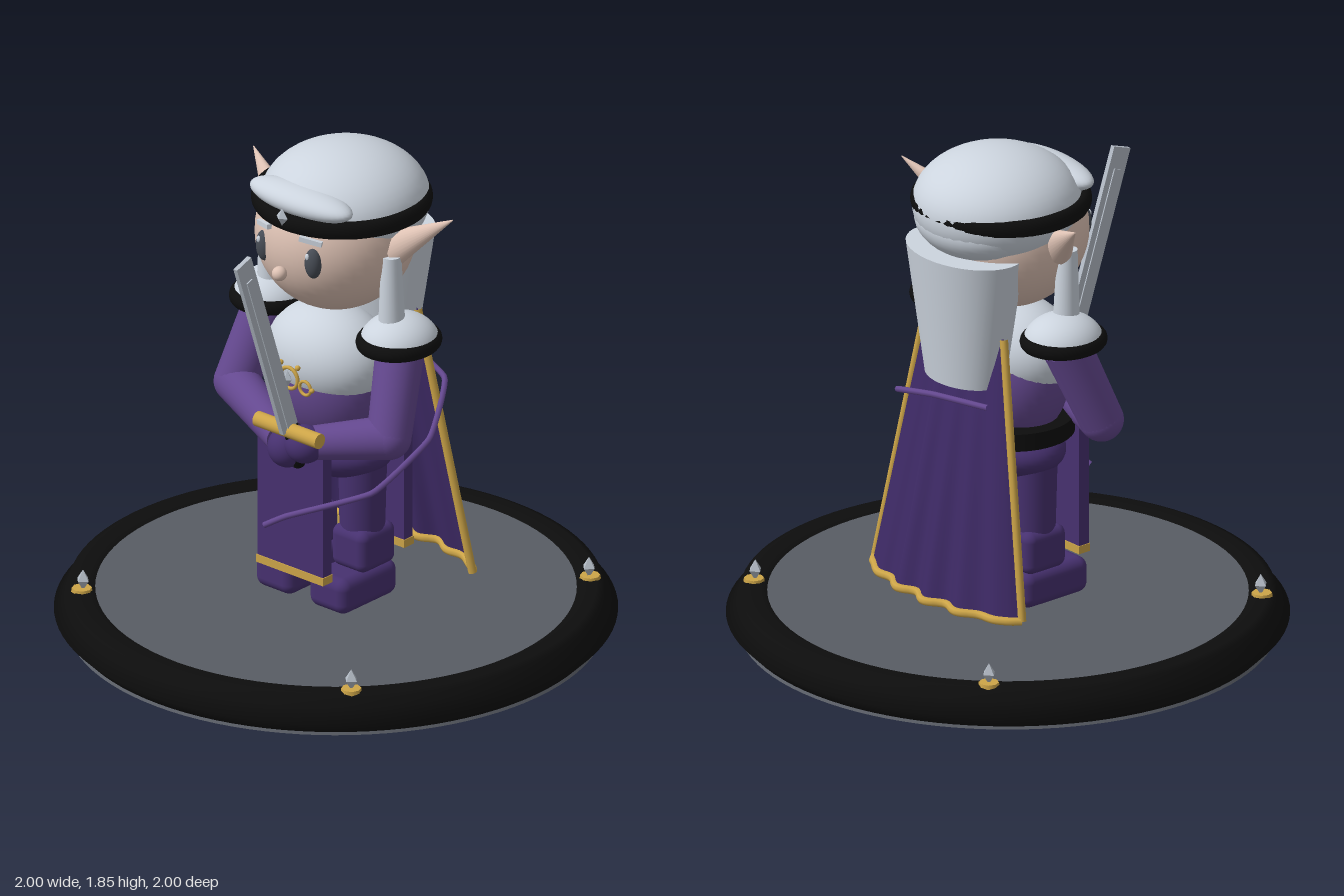
import * as THREE from 'three';
import { RoundedBoxGeometry } from 'three/addons/geometries/RoundedBoxGeometry.js';

const material = (name, color, side = THREE.FrontSide) => {
  const m = new THREE.MeshStandardMaterial({ color, side });
  m.name = name;
  return m;
};
const V = (x, y, z) => new THREE.Vector3(x, y, z);

export function createModel() {
  const white = material('silver white', 0xccd4de);
  const skin = material('skin', 0xdec2b4);
  const robe = material('robe purple', 0x64488f);
  const dark = material('dark purple', 0x473170);
  const capeCloth = material('cape purple', 0x3e2a66, THREE.DoubleSide);
  const black = material('black', 0x0d0d0d);
  const gold = material('gold', 0xcda548);
  const steel = material('steel', 0xb4bcc6);
  const stone = material('stone grey', 0x585c64);
  const eyeGrey = material('eye grey', 0x484d56);

  const model = new THREE.Group();
  model.name = 'figurine';

  const add = (name, geometry, mat, pos = [0, 0, 0], scale = [1, 1, 1], rot = [0, 0, 0]) => {
    const mesh = new THREE.Mesh(geometry, mat);
    mesh.name = name;
    mesh.position.set(...pos);
    mesh.scale.set(...scale);
    mesh.rotation.set(...rot);
    model.add(mesh);
    return mesh;
  };
  const ball = (name, mat, pos, radii) =>
    add(name, new THREE.SphereGeometry(1, 40, 28), mat, pos, radii);
  const gem = (name, pos, radii) =>
    add(name, new THREE.OctahedronGeometry(1), steel, pos, radii);
  const ring = (name, mat, pos, rx, rz, tube, height = 1) => {
    const g = new THREE.TorusGeometry(1, tube / rx, 14, 56).rotateX(Math.PI / 2);
    return add(name, g, mat, pos, [rx, rx * height, rz]);
  };
  // Tapered round bar between two points
  const bar = (name, mat, a, b, ra, rb, sides = 28) => {
    const mesh = add(name, new THREE.CylinderGeometry(rb, ra, a.distanceTo(b), sides), mat);
    mesh.position.copy(a).add(b).multiplyScalar(0.5);
    mesh.quaternion.setFromUnitVectors(V(0, 1, 0), b.clone().sub(a).normalize());
    return mesh;
  };
  const tube = (name, mat, points, radius, tension = 0.5) =>
    add(name, new THREE.TubeGeometry(
      new THREE.CatmullRomCurve3(points, false, 'catmullrom', tension), 80, radius, 8), mat);

  // Display base
  const rim = [[0.95, 0.01], [0.955, 0.015], [1, 0.06], [0.96, 0.11], [0.95, 0.14],
    [0.925, 0.15], [0.87, 0.15], [0.85, 0.138]].map(p => new THREE.Vector2(...p));
  add('baseRim', new THREE.LatheGeometry(rim, 96), black);
  add('baseDisc', new THREE.CylinderGeometry(0.86, 0.955, 0.14, 96), stone, [0, 0.07, 0]);
  for (const x of [-1, 1]) for (const z of [-1, 1]) {
    add('gemSetting', new THREE.CylinderGeometry(0.036, 0.04, 0.03, 8), gold,
      [x * 0.638, 0.145, z * 0.638]);
    gem('baseGem', [x * 0.635, 0.19, z * 0.635], [0.027, 0.04, 0.027]);
  }

  // Legs
  for (const s of [-1, 1]) {
    add('foot', new RoundedBoxGeometry(0.18, 0.135, 0.3, 4, 0.04), dark, [s * 0.127, 0.215, 0.052]);
    add('shin', new RoundedBoxGeometry(0.165, 0.16, 0.185, 4, 0.035), dark, [s * 0.135, 0.355, 0.005]);
    bar('thigh', dark, V(s * 0.13, 0.4, 0.005), V(s * 0.13, 0.7, 0.005), 0.08, 0.088);
  }
  ball('hips', dark, [0, 0.71, 0.005], [0.235, 0.11, 0.175]);

  // Torso and chest plate
  ball('torso', robe, [0, 0.98, 0.02], [0.225, 0.26, 0.19]);
  ball('chestPlate', white, [0, 1.07, 0.035], [0.245, 0.19, 0.19]);
  add('belt', new THREE.CylinderGeometry(0.235, 0.235, 0.065, 48), black, [0, 0.795, 0.01], [1, 1, 0.97]);
  add('buckle', new THREE.BoxGeometry(0.07, 0.06, 0.02), gold, [0, 0.785, 0.243]);

  // Hanging cloth panels
  for (const z of [0.222, -0.212]) {
    add('tabard', new THREE.BoxGeometry(0.31, 0.49, 0.045), dark, [0, 0.53, z]);
    add('tabardHem', new THREE.BoxGeometry(0.316, 0.03, 0.052), gold, [0, 0.288, z]);
  }

  // Chest emblem
  add('emblemRing', new THREE.TorusGeometry(0.04, 0.007, 8, 32), gold, [0, 1.04, 0.25]);
  gem('emblemGem', [0, 1.04, 0.26], [0.02, 0.034, 0.018]);
  for (const s of [-1, 1]) {
    add('emblemSideRing', new THREE.TorusGeometry(0.026, 0.006, 8, 24), gold, [s * 0.075, 1.022, 0.25]);
    ball('emblemBead', gold, [s * 0.04, 1.09, 0.25], [0.01, 0.01, 0.01]);
    ball('emblemBead', gold, [s * 0.108, 1.022, 0.25], [0.009, 0.009, 0.009]);
  }

  // Arms, gloves and shoulder guards
  for (const s of [-1, 1]) {
    const shoulder = V(s * 0.31, 1.17, 0.005);
    const elbow = V(s * 0.362, 0.875, 0.125);
    const wrist = s < 0 ? V(0.0, 0.82, 0.285) : V(0.15, 0.845, 0.285);
    bar('upperArm', robe, shoulder, elbow, 0.088, 0.08);
    ball('elbow', robe, elbow.toArray(), [0.08, 0.08, 0.08]);
    bar('forearm', robe, elbow, wrist, 0.08, 0.062);
    add('shoulderGuard', new THREE.SphereGeometry(1, 40, 16, 0, Math.PI * 2, 0, Math.PI / 2),
      white, [s * 0.3, 1.185, 0], [0.14, 0.11, 0.15]);
    ring('shoulderTrim', black, [s * 0.3, 1.195, 0.002], 0.122, 0.135, 0.025, 1.15);
  }
  ball('glove', dark, [0.05, 0.81, 0.315], [0.072, 0.075, 0.072]);
  ball('glove', dark, [0.13, 0.845, 0.315], [0.075, 0.07, 0.07]);

  // Sword, built upright then tilted forward
  const sword = new THREE.Group();
  sword.name = 'sword';
  const swordPart = (name, geometry, mat, y) => {
    const mesh = new THREE.Mesh(geometry, mat);
    mesh.name = name;
    mesh.position.y = y;
    sword.add(mesh);
  };
  swordPart('blade', new THREE.BoxGeometry(0.018, 0.77, 0.08), steel, 0.395);
  swordPart('bladeRidge', new THREE.BoxGeometry(0.028, 0.69, 0.03), steel, 0.355);
  swordPart('guard', new THREE.CylinderGeometry(0.028, 0.028, 0.295, 20).rotateZ(Math.PI / 2), gold, 0);
  sword.children[2].position.x = -0.003;
  swordPart('grip', new THREE.CylinderGeometry(0.022, 0.022, 0.16, 16), black, -0.08);
  sword.position.set(0.1, 0.905, 0.362);
  sword.rotation.x = 0.328;
  model.add(sword);

  // Head
  ball('face', skin, [0, 1.535, 0], [0.29, 0.285, 0.288]);
  ball('nose', skin, [0, 1.465, 0.302], [0.027, 0.027, 0.027]);
  for (const s of [-1, 1]) {
    ball('eye', eyeGrey, [s * 0.115, 1.525, 0.25], [0.034, 0.06, 0.03]);
    ball('eyeGlint', white, [s * 0.115 - 0.008, 1.552, 0.274], [0.009, 0.013, 0.007]);
    add('eyebrow', new THREE.BoxGeometry(0.085, 0.018, 0.02), white,
      [s * 0.11, 1.61, 0.258], [1, 1, 1], [0, s * 0.4, s * -0.15]);
    const ear = bar('ear', skin, V(s * 0.265, 1.54, 0), V(s * 0.472, 1.682, -0.092), 0.068, 0.002);
    ear.scale.z = 0.75;
    bar('sideLock', white, V(s * 0.287, 1.22, 0.025), V(s * 0.288, 1.53, 0.03), 0.05, 0.036);
  }

  // Hair and headband
  ball('hairCap', white, [0, 1.645, -0.05], [0.302, 0.205, 0.305]);
  ball('backHair', white, [0, 1.6, -0.135], [0.255, 0.135, 0.212]);
  ball('fringe', white, [0, 1.715, 0.185], [0.232, 0.055, 0.085]);
  const fall = new THREE.CylinderGeometry(0.25, 0.17, 0.49, 40);
  add('longHair', fall, white, [0, 1.265, -0.2], [1, 1, 0.71]);
  ring('headband', black, [0, 1.655, -0.032], 0.3, 0.298, 0.024, 1.4);
  gem('headbandGem', [0, 1.68, 0.288], [0.026, 0.034, 0.02]);

  // Cape: u runs across from -1 to 1, v runs down from 0 to 1
  const capePoint = (u, v) => V(
    u * (0.21 + 0.19 * v),
    1.22 - v,
    -0.2 - 0.078 * v - (0.015 + 0.105 * v) * Math.pow(Math.max(0, 1 - u * u), 0.65)
      - 0.018 * v * Math.sin(u * 16 + 2.6) * (1 - u * u));
  const capeGeo = new THREE.PlaneGeometry(2, 1, 48, 16);
  const p = capeGeo.attributes.position;
  for (let i = 0; i < p.count; i++) {
    const q = capePoint(p.getX(i), 0.5 - p.getY(i));
    p.setXYZ(i, q.x, q.y, q.z);
  }
  capeGeo.computeVertexNormals();
  add('cape', capeGeo, capeCloth);
  const steps = Array.from({ length: 33 }, (_, i) => i / 32);
  for (const s of [-1, 1]) tube('capeSideTrim', gold, steps.map(v => capePoint(s, v)), 0.015);
  tube('capeHem', gold, steps.map(t => capePoint(t * 2 - 1, 1)), 0.016);

  // Sash wound round the cape with a loose end in front
  tube('sash', robe, [V(0.005, 0.515, 0.39), V(0.08, 0.56, 0.35), V(0.35, 0.68, 0.2),
    V(0.37, 0.8, -0.08), V(0.24, 0.92, -0.31), V(0, 0.985, -0.35), V(-0.25, 1, -0.31)], 0.011, 0.2);

  return model;
}
